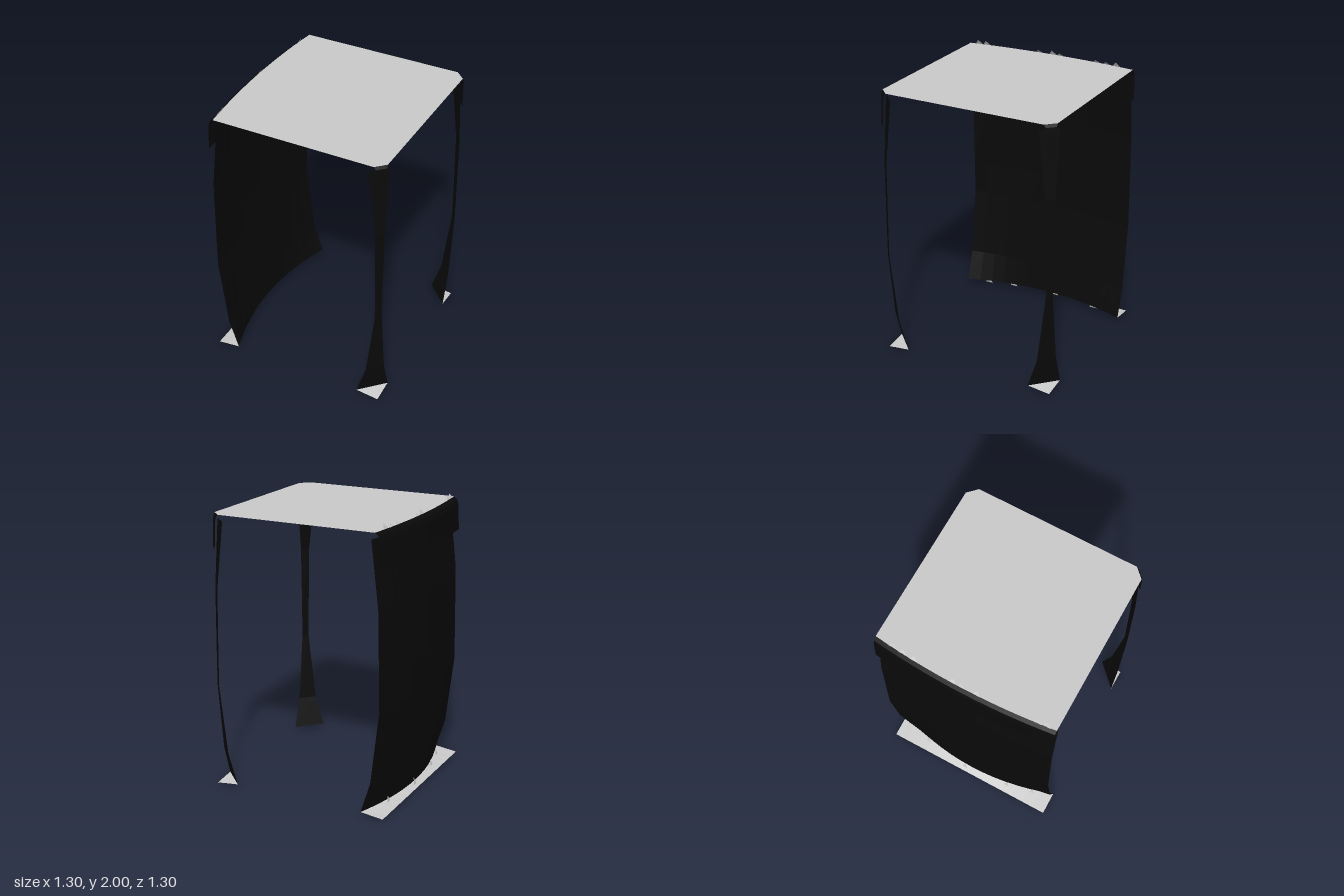
import * as THREE from 'three';

const H = 0.65; // half width of the footprint
const TOP = 1.965;
const grey = new THREE.MeshStandardMaterial({ color: 0xcccccc, side: THREE.DoubleSide, flatShading: true });
const black = new THREE.MeshStandardMaterial({ color: 0x0a0a0a, side: THREE.DoubleSide, flatShading: true });

// Skin a list of equally long point rows into one open sheet
function sheet(name, rows, material) {
  const n = rows[0].length;
  const index = [];
  for (let i = 0; i < rows.length - 1; i++) {
    for (let j = 0; j < n - 1; j++) {
      const a = i * n + j;
      index.push(a, a + n, a + 1, a + 1, a + n, a + n + 1);
    }
  }
  const geometry = new THREE.BufferGeometry();
  geometry.setAttribute('position', new THREE.Float32BufferAttribute(rows.flat(2), 3));
  geometry.setIndex(index);
  geometry.computeVertexNormals();
  const mesh = new THREE.Mesh(geometry, material);
  mesh.name = name;
  return mesh;
}

// Stations along z, and the outward bulge (0 at the ends, 1 in the middle)
const stations = Array.from({ length: 15 }, (_, i) => -H + (2 * H * i) / 14);
const bow = (z) => 1 - (z / H) ** 2;
const mix = THREE.MathUtils.lerp;

// Profiles: [height, inset at the ends, inset in the middle]
const sideProfile = [
  [0.03, 0.485, 0.60], [0.25, 0.555, 0.615], [0.75, 0.615, 0.645],
  [1.0, 0.612, 0.65], [1.45, 0.604, 0.645], [1.92, 0.55, 0.62],
];
const lipProfile = [
  [1.73, 0.62, 0.65], [1.91, 0.61, 0.65], [1.945, 0.60, 0.64], [TOP, 0.575, 0.615],
];

// Wide sheet on the right side, bowed along its length
function bowedWall(name, profile) {
  const rows = profile.map(([y, end, mid]) => stations.map((z) => [-mix(end, mid, bow(z)), y, z]));
  return sheet(name, rows, black);
}

// Narrow strip running diagonally across a left corner
function cornerStrip(name, profile, side) {
  const rows = profile.map(([y, d]) => [[d, y, side * H], [H, y, side * d]]);
  return sheet(name, rows, black);
}

export function createModel() {
  const model = new THREE.Group();

  // Flat top with a bowed right edge and two clipped left corners
  const cut = 0.585;
  const zs = [...stations, -cut, cut].sort((a, b) => a - b);
  const topRows = zs.map((z) => [
    [-mix(0.575, 0.615, bow(z)), TOP, z],
    [Math.min(H, H + cut - Math.abs(z)), TOP, z],
  ]);
  model.add(sheet('topPanel', topRows, grey));

  // Side wall, its hanging lip and the strip of floor outside it
  model.add(bowedWall('sideWall', sideProfile), bowedWall('wallLip', lipProfile));
  const floorRows = stations.map((z) => [
    [-H, 0.01, z],
    [-mix(0.485, 0.60, bow(z)), 0.03, z],
  ]);
  model.add(sheet('wallFoot', floorRows, grey));

  // Corner posts with lips and triangular feet
  const postLip = [[1.73, 0.615], [1.91, 0.605], [1.945, 0.60], [TOP, cut]];
  for (const side of [1, -1]) {
    const post = new THREE.Group();
    post.name = side > 0 ? 'frontPost' : 'backPost';
    const d = sideProfile[0][1];
    post.add(
      cornerStrip('postStrip', sideProfile, side),
      cornerStrip('postLip', postLip, side),
      sheet('postFoot', [
        [[d, 0.03, side * H], [H, 0.03, side * d]],
        [[H, 0.012, side * H], [H, 0.012, side * H]],
      ], grey),
    );
    model.add(post);
  }

  // Small ragged teeth along the bowed edge of the top
  for (const z of [0.58, 0.52, 0.1, -0.01, -0.07, -0.36, -0.44, -0.52]) {
    const x = -mix(0.575, 0.615, bow(z));
    const tall = Math.abs(z) > 0.5 || z === -0.01 ? 2 : 1.988;
    model.add(sheet('topTooth', [
      [[x, TOP, z - 0.03], [x, TOP, z + 0.03]],
      [[x + 0.02, tall, z], [x + 0.02, tall, z]],
    ], grey));
  }

  // Ragged teeth where the wall meets its foot
  for (const z of [0.5, 0.3, -0.05, -0.4]) {
    const x = -mix(0.485, 0.60, bow(z));
    model.add(sheet('footTooth', [
      [[x - 0.03, 0.0, z - 0.03], [x - 0.03, 0.0, z + 0.03]],
      [[x - 0.01, 0.07, z], [x - 0.01, 0.07, z]],
    ], grey));
  }
  return model;
}
